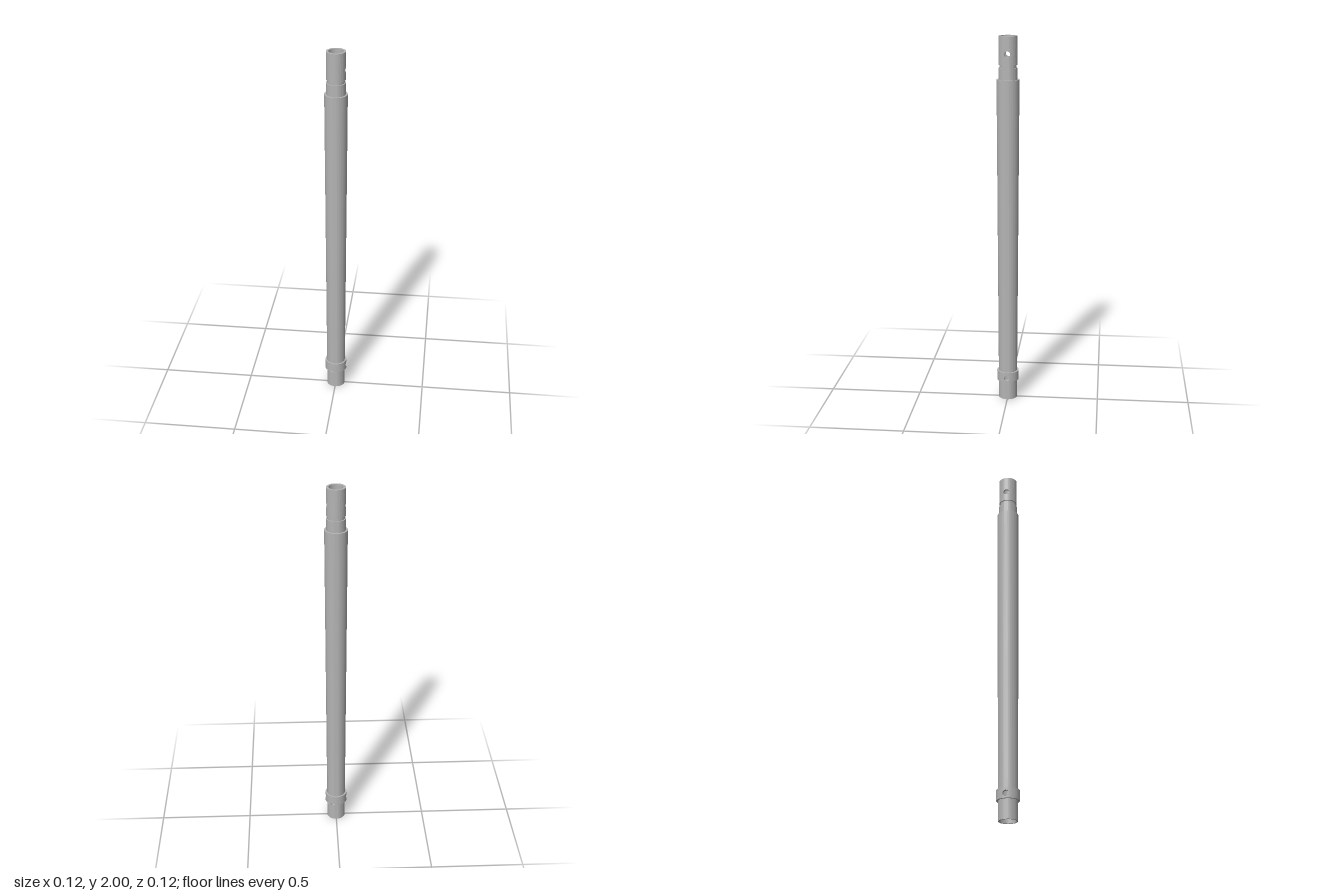
import * as THREE from 'three';
import { toCreasedNormals } from 'three/addons/utils/BufferGeometryUtils.js';

const SEGMENTS = 128;
const BORE = 0.038, SOCKET = 0.043, HOLE = 0.016;

// Grid of rings running from t = 0 to 1; point(t, angle) returns [x, y, z].
function ringGrid(point, steps, flip = false) {
  const positions = [], index = [];
  for (let i = 0; i <= steps; i++) {
    for (let j = 0; j < SEGMENTS; j++) {
      positions.push(...point(i / steps, (j / SEGMENTS) * Math.PI * 2));
    }
  }
  for (let i = 0; i < steps; i++) {
    for (let j = 0; j < SEGMENTS; j++) {
      const k = (j + 1) % SEGMENTS;
      const a = i * SEGMENTS + j, b = a + SEGMENTS;
      const c = (i + 1) * SEGMENTS + k, d = i * SEGMENTS + k;
      if (flip) index.push(a, c, b, a, d, c);
      else index.push(a, b, c, a, c, d);
    }
  }
  const geometry = new THREE.BufferGeometry();
  geometry.setAttribute('position', new THREE.Float32BufferAttribute(positions, 3));
  geometry.setIndex(index);
  return toCreasedNormals(geometry, 0.5);
}

// Half of a tube wall, spreading from a round hole's rim to the half's border.
function wallPoint(radius, y0, y1, holeY) {
  return (t, angle) => {
    const c = Math.cos(angle), s = Math.sin(angle);
    const m = Math.max(Math.abs(c), Math.abs(s));
    const rimTheta = Math.asin((HOLE * c) / radius), rimY = holeY + HOLE * s;
    const edgeTheta = (Math.PI / 2) * (c / m);
    const edgeY = (y0 + y1) / 2 + ((y1 - y0) / 2) * (s / m);
    const theta = THREE.MathUtils.lerp(rimTheta, edgeTheta, t);
    const y = THREE.MathUtils.lerp(rimY, edgeY, t);
    return [radius * Math.cos(theta), y, -radius * Math.sin(theta)];
  };
}

export function createModel() {
  const model = new THREE.Group();
  model.name = 'hollowShaft';
  const metal = new THREE.MeshStandardMaterial({ color: 0xb4b4b4 });
  metal.name = 'grey metal';

  const add = (parent, name, geometry) => {
    const mesh = new THREE.Mesh(geometry, metal);
    mesh.name = name;
    parent.add(mesh);
    return mesh;
  };
  const turned = (name, profile) => {
    const points = profile.map(([r, y]) => new THREE.Vector2(r, y));
    add(model, name, toCreasedNormals(new THREE.LatheGeometry(points, 64), 0.5));
  };

  // Tube section with a pin hole drilled straight through along x
  const drilledSection = (name, outer, inner, y0, y1, holeY) => {
    const group = new THREE.Group();
    group.name = name;
    const outside = wallPoint(outer, y0, y1, holeY);
    const inside = wallPoint(inner, y0, y1, holeY);
    const holeWall = (t, angle) => {
      const a = inside(0, angle), b = outside(0, angle);
      return a.map((v, i) => THREE.MathUtils.lerp(v, b[i], t));
    };
    const parts = [
      ['outerWall', ringGrid(outside, 12)],
      ['innerWall', ringGrid(inside, 12, true)],
      ['pinHole', ringGrid(holeWall, 1)],
    ];
    for (const turn of [0, Math.PI]) {
      for (const [part, geometry] of parts) add(group, part, geometry).rotation.y = turn;
    }
    model.add(group);
  };

  // Open lower end
  turned('lowerSleeve', [[SOCKET, 0.105], [SOCKET, 0], [0.05, 0], [0.05, 0.105], [0.06, 0.105]]);
  drilledSection('collar', 0.06, SOCKET, 0.105, 0.16, 0.13);

  // Slightly tapered body, shoulder, neck and groove
  turned('taperedBody', [
    [0.06, 0.16], [0.051, 0.16], [0.06, 1.775], [0.05, 1.775],
    [0.05, 1.836], [0.044, 1.836], [0.044, 1.852], [0.05, 1.852],
  ]);
  turned('bore', [[BORE, 1.852], [BORE, 0.2], [SOCKET, 0.2], [SOCKET, 0.16]]);

  // Drilled upper end
  drilledSection('upperSleeve', 0.05, BORE, 1.852, 2, 1.907);
  turned('upperRim', [[0.05, 2], [BORE, 2]]);

  return model;
}
